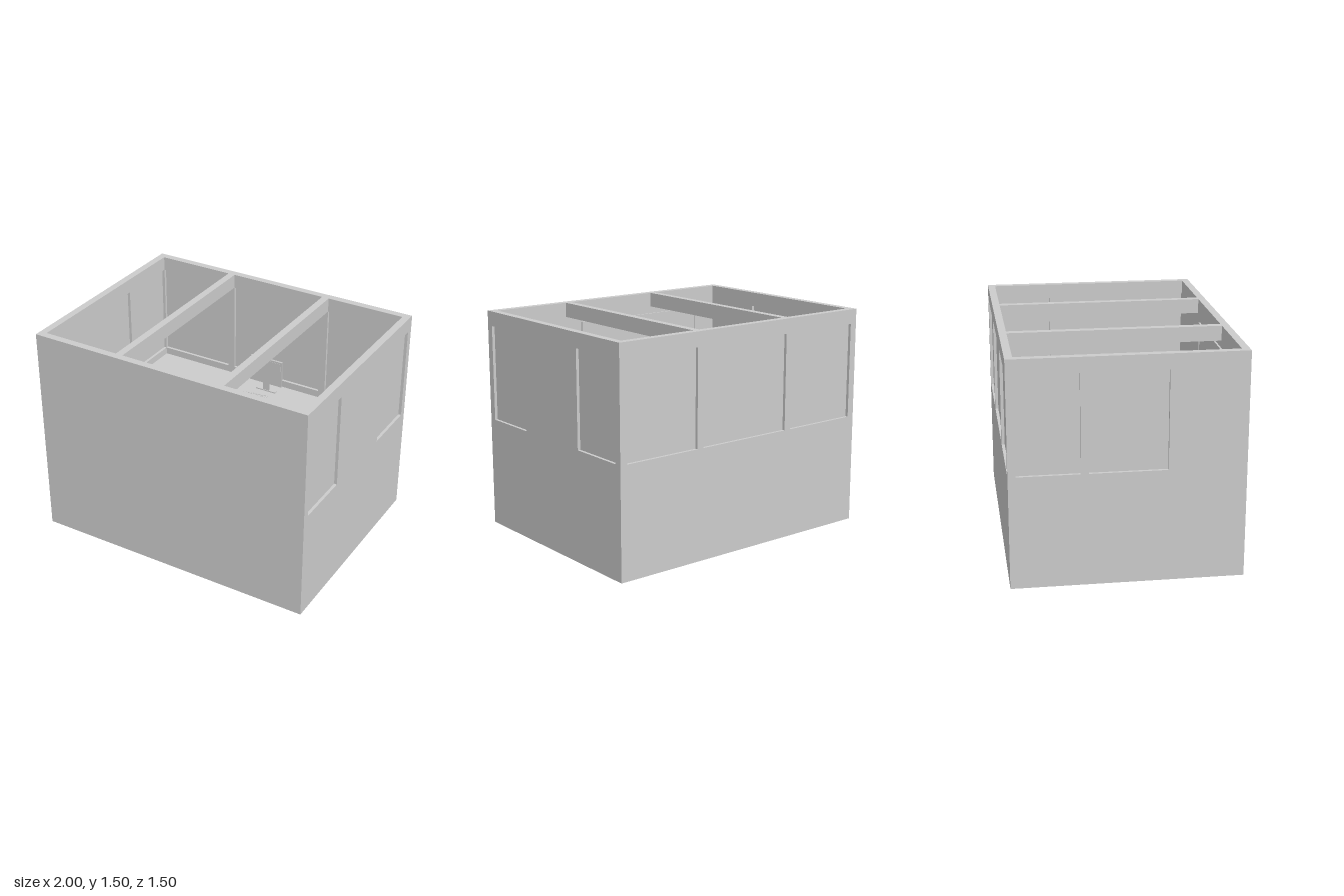
import * as THREE from 'three';
import { RoundedBoxGeometry } from 'three/addons/geometries/RoundedBoxGeometry.js';

const grey = new THREE.MeshStandardMaterial({ color: 0xcccccc });
const glass = new THREE.MeshStandardMaterial({ color: 0xf0f0f0 });
const T = 0.05, H = 1.5, SILL = 0.75, HEAD = 1.4, DESK = 0.7;

function add(parent, name, geometry, x = 0, y = 0, z = 0, material = grey) {
  const mesh = new THREE.Mesh(geometry, material);
  mesh.name = name;
  mesh.position.set(x, y, z);
  parent.add(mesh);
  return mesh;
}

// Box given by its low and high limits on each axis
function box(parent, name, [x0, x1], [y0, y1], [z0, z1], material = grey) {
  return add(parent, name, new THREE.BoxGeometry(x1 - x0, y1 - y0, z1 - z0),
    (x0 + x1) / 2, (y0 + y1) / 2, (z0 + z1) / 2, material);
}

// Wall in its own x/y plane with window openings and recessed panes
function wall(name, width, windows) {
  const group = new THREE.Group();
  group.name = name;
  const rect = (path, a, b, lo, hi) =>
    path.moveTo(a, lo).lineTo(b, lo).lineTo(b, hi).lineTo(a, hi).closePath();
  const shape = rect(new THREE.Shape(), -width / 2, width / 2, 0, H);
  for (const [a, b] of windows) {
    shape.holes.push(rect(new THREE.Path(), a, b, SILL, HEAD));
    box(group, 'windowPane', [a, b], [SILL, HEAD], [-0.005, 0.005], glass);
  }
  const geometry = new THREE.ExtrudeGeometry(shape, { depth: T, bevelEnabled: false });
  add(group, 'wallPanel', geometry, 0, 0, -T / 2);
  return group;
}

// Four-drawer cabinet; one drawer may be pulled out
function filingCabinet(x, openDrawer) {
  const g = new THREE.Group();
  g.name = 'filingCabinet';
  g.position.set(x, T, 0.575);
  const w = 0.266, h = 0.94, d = 0.25, t = 0.008, step = h / 4;
  const front = -d / 2;
  for (const s of [-1, 1]) add(g, 'cabinetSide', new THREE.BoxGeometry(t, h, d), s * (w - t) / 2, h / 2, 0);
  box(g, 'cabinetBack', [-w / 2, w / 2], [0, h], [d / 2 - t, d / 2]);
  for (let i = 0; i <= 4; i++) {
    const y = Math.min(Math.max(i * step, t / 2), h - t / 2);
    add(g, 'cabinetShelf', new THREE.BoxGeometry(w, t, d), 0, y, 0);
  }
  for (let i = 0; i < 4; i++) {
    const drawer = new THREE.Group();
    drawer.name = 'drawer';
    const open = i === openDrawer;
    drawer.position.set(0, i * step, front - (open ? 0.11 : 0));
    box(drawer, 'drawerFront', [-0.124, 0.124], [0.012, step - 0.012], [-0.005, 0.012]);
    const handle = add(drawer, 'drawerHandle', new RoundedBoxGeometry(0.07, 0.016, 0.016, 2, 0.005), -0.045, step * 0.6, -0.012);
    handle.scale.z = 0.9;
    box(drawer, 'labelHolder', [0.01, 0.09], [step * 0.55, step * 0.72], [-0.009, -0.004]);
    if (open) {
      box(drawer, 'drawerBottom', [-0.1, 0.1], [0.02, 0.028], [0.01, 0.22]);
      for (const s of [-1, 1]) add(drawer, 'drawerSide', new THREE.BoxGeometry(0.006, 0.14, 0.21), s * 0.103, 0.09, 0.115);
      for (let k = 0; k < 10; k++) {
        box(drawer, 'fileFolder', [-0.095, 0.095], [0.03, 0.17], [0.02 + k * 0.019, 0.03 + k * 0.019]);
      }
    }
    g.add(drawer);
  }
  return g;
}

function keyboard() {
  const g = new THREE.Group();
  g.name = 'keyboard';
  g.position.set(-0.09, DESK, -0.44);
  g.rotation.y = 0.18;
  add(g, 'keyboardBody', new RoundedBoxGeometry(0.28, 0.014, 0.11, 2, 0.006), 0, 0.008, 0);
  for (let r = 0; r < 5; r++) {
    for (let c = 0; c < 14; c++) {
      add(g, 'key', new THREE.BoxGeometry(0.015, 0.005, 0.015), -0.122 + c * 0.0188, 0.017, -0.038 + r * 0.019);
    }
  }
  return g;
}

function mouse() {
  const g = new THREE.Group();
  g.name = 'mouse';
  g.position.set(0.158, DESK, -0.43);
  g.rotation.y = 0.25;
  const dome = new THREE.SphereGeometry(1, 20, 8, 0, Math.PI * 2, 0, Math.PI / 2);
  add(g, 'mouseBody', dome).scale.set(0.023, 0.022, 0.04);
  const wheel = add(g, 'mouseWheel', new THREE.CylinderGeometry(0.005, 0.005, 0.005, 12), 0, 0.019, -0.02);
  wheel.rotation.z = Math.PI / 2;
  return g;
}

// Thin screen whose back is narrower than its front
function monitor() {
  const g = new THREE.Group();
  g.name = 'monitor';
  g.position.set(-0.018, DESK, -0.597);
  const geometry = new THREE.BoxGeometry(0.26, 0.2, 0.026);
  const p = geometry.attributes.position;
  for (let i = 0; i < p.count; i++) {
    if (p.getZ(i) < 0) p.setXY(i, p.getX(i) * 0.94, p.getY(i) * 0.94);
  }
  geometry.computeVertexNormals();
  add(g, 'screenHousing', geometry, 0, 0.165, 0);
  box(g, 'screen', [-0.118, 0.118], [0.077, 0.253], [0.012, 0.015]);
  box(g, 'monitorNeck', [-0.025, 0.025], [0, 0.08], [-0.01, 0.008]);
  box(g, 'monitorFoot', [-0.08, 0.08], [0, 0.008], [-0.013, 0.013]);
  return g;
}

// Desk console with rows of buttons and a grip at one side
function console_() {
  const g = new THREE.Group();
  g.name = 'controlBox';
  g.position.set(0.695, DESK, -0.495);
  box(g, 'controlBoxBody', [-0.125, 0.125], [0, 0.08], [-0.125, 0.125]);
  for (const z of [-0.07, -0.005, 0.01, 0.035]) {
    for (let c = 0; c < 6; c++) {
      add(g, 'button', new THREE.CylinderGeometry(0.004, 0.004, 0.006, 8), -0.1 + c * 0.03, 0.082, z);
    }
  }
  add(g, 'grip', new THREE.SphereGeometry(1, 12, 8), 0.1, 0.08, -0.005).scale.set(0.009, 0.009, 0.035);
  return g;
}

export function createModel() {
  const model = new THREE.Group();
  model.name = 'officeRoom';

  // Shell
  box(model, 'floor', [-1, 1], [0, T], [-0.75, 0.75]);
  const back = wall('backWall', 2, [[-0.95, -0.4], [-0.35, 0.35], [0.4, 0.95]]);
  back.position.z = -0.725;
  const front = wall('frontWall', 2, []);
  front.position.z = 0.725;
  // Side walls are turned, so their local x runs towards -z
  const left = wall('leftWall', 1.5, [[-0.7, -0.3], [0.3, 0.7]]);
  left.position.x = 0.975;
  const right = wall('rightWall', 1.5, [[-0.25, 0.25], [0.3, 0.7]]);
  right.position.x = -0.975;
  left.rotation.y = right.rotation.y = Math.PI / 2;
  model.add(back, front, left, right);
  for (const s of [-1, 1]) add(model, 'ceilingBeam', new THREE.BoxGeometry(T, 0.1, 1.4), s * 0.375, 1.45, 0);

  // Built-in desk and what stands on it
  box(model, 'desk', [-0.95, 0.95], [DESK - T, DESK], [-0.7, -0.3]);
  model.add(monitor(), keyboard(), mouse(), console_());

  // Row of filing cabinets, two with an open drawer
  for (let i = 0; i < 5; i++) {
    model.add(filingCabinet(-0.815 + i * 0.274, i === 1 || i === 4 ? 2 : -1));
  }

  // Framed board on the front wall
  box(model, 'boardPanel', [-0.77, 0.26], [1.01, 1.34], [0.694, 0.7]);
  for (const y of [1, 1.335]) box(model, 'boardRail', [-0.78, 0.27], [y, y + 0.015], [0.688, 0.7]);
  for (const x of [-0.78, 0.255]) box(model, 'boardStile', [x, x + 0.015], [1, 1.35], [0.688, 0.7]);

  return model;
}
